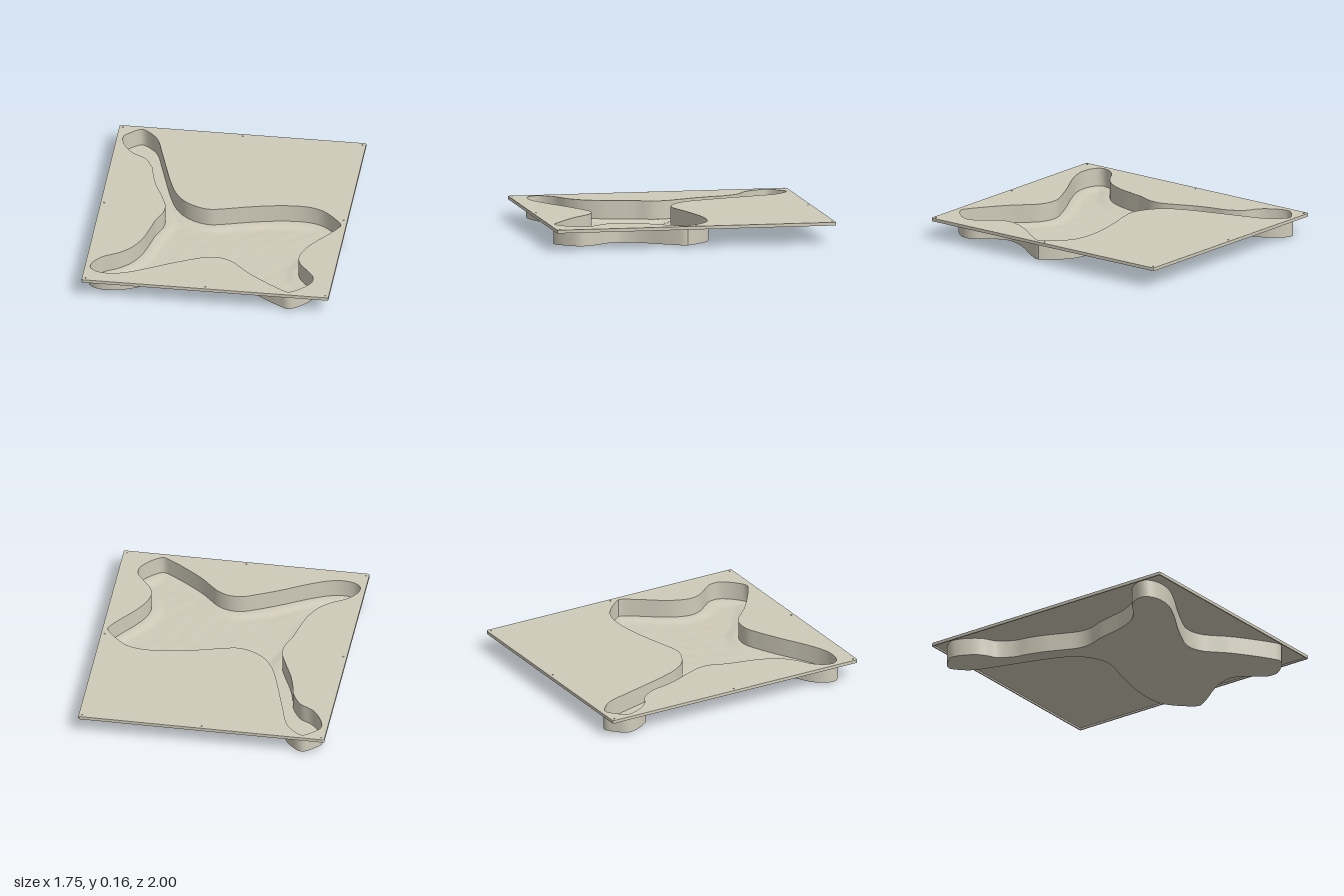
import * as THREE from 'three';
import { toCreasedNormals } from 'three/addons/utils/BufferGeometryUtils.js';

const TOP = 0.152, SHEET = 0.011, LIP_BOTTOM = 0.129, WALL_BOTTOM = 0.014;
const HALF_X = 0.875, HALF_Z = 1;

// recess outline as x, z pairs
const OUTLINE = [
  -0.71, -0.965, -0.64, -0.92, -0.585, -0.85, -0.53, -0.68, -0.47, -0.48, -0.42, -0.32, -0.36, -0.18,
  -0.28, -0.085, -0.18, -0.03, -0.1, -0.015, 0, -0.035, 0.14, -0.075, 0.31, -0.115, 0.45, -0.135,
  0.58, -0.135, 0.68, -0.105, 0.76, -0.04, 0.82, 0.03, 0.84, 0.065, 0.82, 0.11, 0.76, 0.2,
  0.68, 0.31, 0.625, 0.41, 0.6, 0.51, 0.62, 0.59, 0.68, 0.67, 0.73, 0.74, 0.735, 0.81,
  0.7, 0.87, 0.64, 0.93, 0.585, 0.96, 0.53, 0.935, 0.4, 0.85, 0.27, 0.75, 0.2, 0.68,
  0.14, 0.625, 0.06, 0.59, -0.03, 0.59, -0.12, 0.625, -0.3, 0.715, -0.45, 0.8, -0.6, 0.87,
  -0.7, 0.89, -0.79, 0.875, -0.835, 0.835, -0.83, 0.77, -0.77, 0.69, -0.66, 0.62, -0.58, 0.54,
  -0.52, 0.42, -0.485, 0.28, -0.46, 0.17, -0.42, 0.06, -0.42, -0.03, -0.46, -0.14, -0.52, -0.28,
  -0.555, -0.4, -0.57, -0.48, -0.61, -0.56, -0.65, -0.61, -0.73, -0.655, -0.78, -0.71,
  -0.825, -0.8, -0.83, -0.86, -0.79, -0.91,
];

// smooth closed loop through the outline, pushed outwards by an offset
function outline(offset) {
  const pts = [];
  for (let i = 0; i < OUTLINE.length; i += 2) pts.push(new THREE.Vector3(OUTLINE[i], 0, OUTLINE[i + 1]));
  const loop = new THREE.CatmullRomCurve3(pts, true).getSpacedPoints(320);
  loop.pop();
  return loop.map((p, i) => {
    const a = loop[(i + 319) % 320], b = loop[(i + 1) % 320];
    const t = new THREE.Vector2(b.x - a.x, b.z - a.z).normalize();
    return new THREE.Vector2(p.x + t.y * offset, p.z - t.x * offset);
  });
}

function roundedRect(hx, hz, r) {
  const s = new THREE.Shape();
  s.moveTo(hx - r, -hz);
  s.absarc(hx - r, -hz + r, r, -Math.PI / 2, 0);
  s.absarc(hx - r, hz - r, r, 0, Math.PI / 2);
  s.absarc(-hx + r, hz - r, r, Math.PI / 2, Math.PI);
  s.absarc(-hx + r, -hz + r, r, Math.PI, Math.PI * 1.5);
  s.closePath();
  return s;
}

// extrude a flat x-z shape with one hole down from top to bottom
function slab(shape, holePoints, top, bottom) {
  shape.holes.push(new THREE.Path(holePoints));
  const g = new THREE.ExtrudeGeometry(shape, { depth: top - bottom, bevelEnabled: false, curveSegments: 6 });
  g.rotateX(Math.PI / 2).translate(0, top, 0);
  return toCreasedNormals(g, 0.6);
}

function inside(x, z, loop) {
  let hit = false;
  for (let i = 0, j = loop.length - 1; i < loop.length; j = i++) {
    const a = loop[i], b = loop[j];
    if ((a.y > z) !== (b.y > z) && x < ((b.x - a.x) * (z - a.y)) / (b.y - a.y) + a.x) hit = !hit;
  }
  return hit;
}

// floor relief: the body sinks a little away from the wall, with faint ripples
function relief(x, z, d) {
  const sink = THREE.MathUtils.smoothstep(d, 0.025, 0.1) * THREE.MathUtils.smoothstep(z, -0.16, -0.04);
  const ripple = Math.sin(x * 31 + 2 * Math.sin(z * 9)) * Math.sin(z * 27 + x * 8);
  return -sink * (0.0128 + 0.0012 * ripple);
}

// grid trimmed to the outline by snapping its outer corners to the loop
function floorGeometry(loop, y, faceDown) {
  const g = new THREE.PlaneGeometry(1.74, 1.98, 87, 99).rotateX(-Math.PI / 2);
  const pos = g.attributes.position, isIn = [];
  for (let i = 0; i < pos.count; i++) {
    const x = pos.getX(i), z = pos.getZ(i);
    let best = Infinity, near = null;
    for (const p of loop) {
      const d = Math.hypot(p.x - x, p.y - z);
      if (d < best) { best = d; near = p; }
    }
    isIn[i] = inside(x, z, loop);
    if (isIn[i]) pos.setY(i, y + relief(x, z, best));
    else pos.setXYZ(i, near.x, y, near.y);
  }
  const src = g.index.array, kept = [];
  for (let i = 0; i < src.length; i += 3) {
    const [a, b, c] = [src[i], src[i + 1], src[i + 2]];
    if (isIn[a] || isIn[b] || isIn[c]) kept.push(...(faceDown ? [a, c, b] : [a, b, c]));
  }
  g.setIndex(kept);
  g.computeVertexNormals();
  return g;
}

export function createModel() {
  const group = new THREE.Group();
  const plastic = new THREE.MeshStandardMaterial({ color: 0xd0cbba });
  plastic.name = 'warm grey plastic';
  const add = (name, geometry) => {
    const mesh = new THREE.Mesh(geometry, plastic);
    mesh.name = name;
    group.add(mesh);
    return mesh;
  };

  const inner = outline(0), outer = outline(0.009);

  // flat top sheet and its turned-down edge
  add('topSheet', slab(roundedRect(HALF_X, HALF_Z, 0.012), inner, TOP, TOP - SHEET));
  const lipHole = roundedRect(HALF_X - 0.009, HALF_Z - 0.009, 0.006).getPoints(6);
  add('edgeLip', slab(roundedRect(HALF_X, HALF_Z, 0.012), lipHole, TOP - SHEET, LIP_BOTTOM));

  // recess wall and its two floor skins
  add('recessWall', slab(new THREE.Shape(outer), inner, TOP - SHEET, WALL_BOTTOM));
  add('recessFloor', floorGeometry(inner, WALL_BOTTOM + 0.008, false));
  add('recessUnderside', floorGeometry(outer, WALL_BOTTOM, true));

  // tiny stacking pips around the border
  const pip = new THREE.SphereGeometry(0.005, 8, 6);
  for (const x of [-1, 0, 1]) {
    for (const z of [-1, 0, 1]) {
      if (x === 0 && z === 0) continue;
      add('stackingPip', pip).position.set(x * 0.85, TOP, z * 0.975);
    }
  }
  return group;
}
